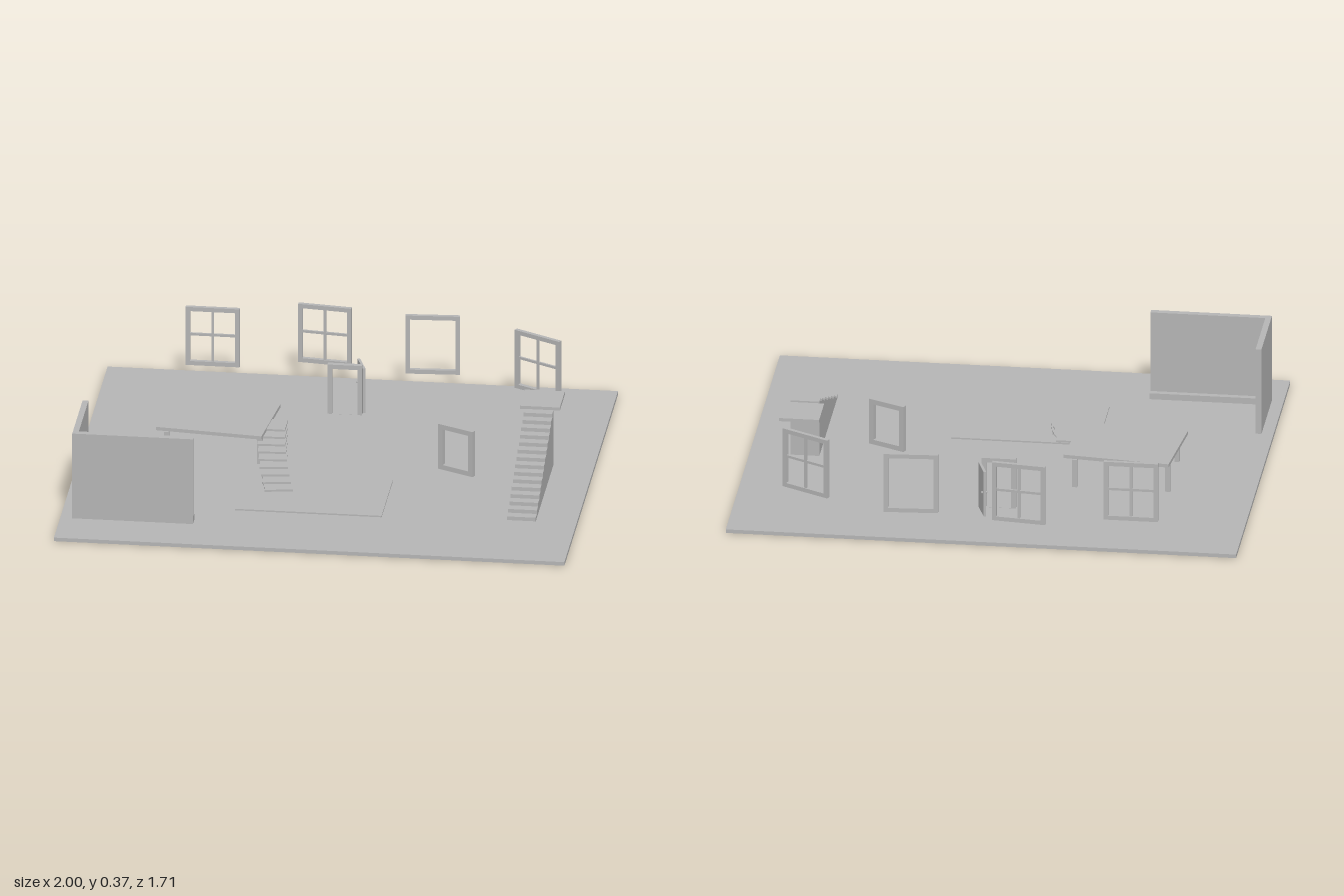
import * as THREE from 'three';

export function createModel() {
  const model = new THREE.Group();
  const grey = new THREE.MeshStandardMaterial({ color: 0xb4b4b4 });
  grey.name = 'plain grey';
  const floorY = 0.015;

  // Box given by its min and max corners
  function slab(name, [x0, y0, z0], [x1, y1, z1], parent = model) {
    const mesh = new THREE.Mesh(new THREE.BoxGeometry(x1 - x0, y1 - y0, z1 - z0), grey);
    mesh.position.set((x0 + x1) / 2, (y0 + y1) / 2, (z0 + z1) / 2);
    mesh.name = name;
    parent.add(mesh);
    return mesh;
  }

  function group(name, x, y, z, turn) {
    const g = new THREE.Group();
    g.name = name;
    g.position.set(x, y, z);
    g.rotation.y = turn;
    model.add(g);
    return g;
  }

  // Rectangular frame standing on its group's origin
  function frame(parent, w, h, d, b, hasSill = true) {
    const shape = new THREE.Shape();
    shape.moveTo(-w / 2, 0).lineTo(w / 2, 0).lineTo(w / 2, h).lineTo(-w / 2, h).closePath();
    const y0 = hasSill ? b : 0.0005;
    const hole = new THREE.Path();
    hole.moveTo(-w / 2 + b, y0).lineTo(-w / 2 + b, h - b).lineTo(w / 2 - b, h - b).lineTo(w / 2 - b, y0).closePath();
    shape.holes.push(hole);
    const geo = new THREE.ExtrudeGeometry(shape, { depth: d, bevelEnabled: false });
    geo.translate(0, 0, -d / 2);
    const mesh = new THREE.Mesh(geo, grey);
    mesh.name = 'frame';
    parent.add(mesh);
  }

  // Ground plate and low mat
  slab('floor', [-1, 0, -0.855], [1, floorY, 0.855]);
  slab('mat', [-0.335, floorY, 0.13], [0.24, 0.021, 0.5]);

  // Corner walls with skirting on the inner side
  slab('frontWall', [-0.953, floorY, 0.631], [-0.48, 0.373, 0.656]);
  slab('sideWall', [-0.953, floorY, 0.325], [-0.93, 0.373, 0.631]);
  slab('skirting', [-0.93, floorY, 0.608], [-0.48, 0.04, 0.631]);

  // Hanging windows: x, z, turn, panes
  const windows = [
    [-0.574, -0.742, 0, true],
    [-0.143, -0.813, -0.115, true],
    [0.285, -0.767, 0.06, false],
    [0.715, -0.622, -0.49, true],
  ];
  for (const [x, z, turn, panes] of windows) {
    const g = group('window', x, 0.09, z, turn);
    frame(g, 0.212, 0.245, 0.016, 0.017);
    if (panes) {
      slab('verticalBar', [-0.005, 0.017, -0.004], [0.005, 0.228, 0.004], g);
      slab('crossBar', [-0.089, 0.124, -0.004], [0.089, 0.134, 0.004], g);
    }
  }

  // Small standing frame
  frame(group('standingFrame', 0.475, floorY, 0.02, -0.44), 0.158, 0.19, 0.018, 0.02);

  // Doorway with an open door and knobs
  frame(group('doorway', -0.027, floorY, -0.505, 0), 0.135, 0.208, 0.02, 0.018, false);
  const door = group('door', 0.047, floorY, -0.515, 1.9);
  slab('doorPanel', [0, 0.002, -0.005], [0.1, 0.19, 0.005], door);
  for (const side of [-1, 1]) {
    const knob = new THREE.Mesh(new THREE.SphereGeometry(0.005, 10, 8), grey);
    knob.position.set(0.085, 0.098, side * 0.008);
    knob.name = 'knob';
    door.add(knob);
  }

  // Raised platform, turned on its four straight legs
  const deck = group('platform', -0.476, 0, -0.124, -0.105);
  slab('platformTop', [-0.21, 0.131, -0.166], [0.21, 0.145, 0.166], deck);
  for (const x of [-0.66, -0.295])
    for (const z of [-0.27, 0.023])
      slab('platformLeg', [x - 0.01, floorY, z - 0.01], [x + 0.01, 0.131, z + 0.01]);

  // Curving stair of floating treads
  const treads = 9;
  for (let i = 0; i < treads; i++) {
    const t = i / (treads - 1);
    const x = -0.258 + 0.03 * t + 0.033 * t * t;
    const g = group('curvedStair', x, 0.137 - 0.112 * t, -0.072 + 0.332 * t, 0.18 * t);
    slab('tread', [-0.055, -0.004, -0.05], [0.055, 0.004, 0.05], g);
  }

  // Straight solid stair, drawn as a side outline and extruded across
  const steps = 15, front = 0.467, back = -0.1, top = 0.245;
  const outline = new THREE.Shape();
  outline.moveTo(-back, floorY);
  outline.lineTo(-front, floorY);
  for (let i = 0; i < steps; i++) {
    const y = floorY + ((top - floorY) * (i + 1)) / steps;
    outline.lineTo(-front + ((front - back) * i) / steps, y);
    outline.lineTo(-front + ((front - back) * (i + 1)) / steps, y);
  }
  outline.closePath();
  const stair = new THREE.Mesh(new THREE.ExtrudeGeometry(outline, { depth: 0.113, bevelEnabled: false }), grey);
  stair.rotation.y = Math.PI / 2;
  stair.position.x = 0.727;
  stair.name = 'straightStair';
  model.add(stair);

  // Landing floating behind the stair
  slab('landing', [0.705, 0.235, -0.284], [0.862, 0.248, -0.122]);

  return model;
}
